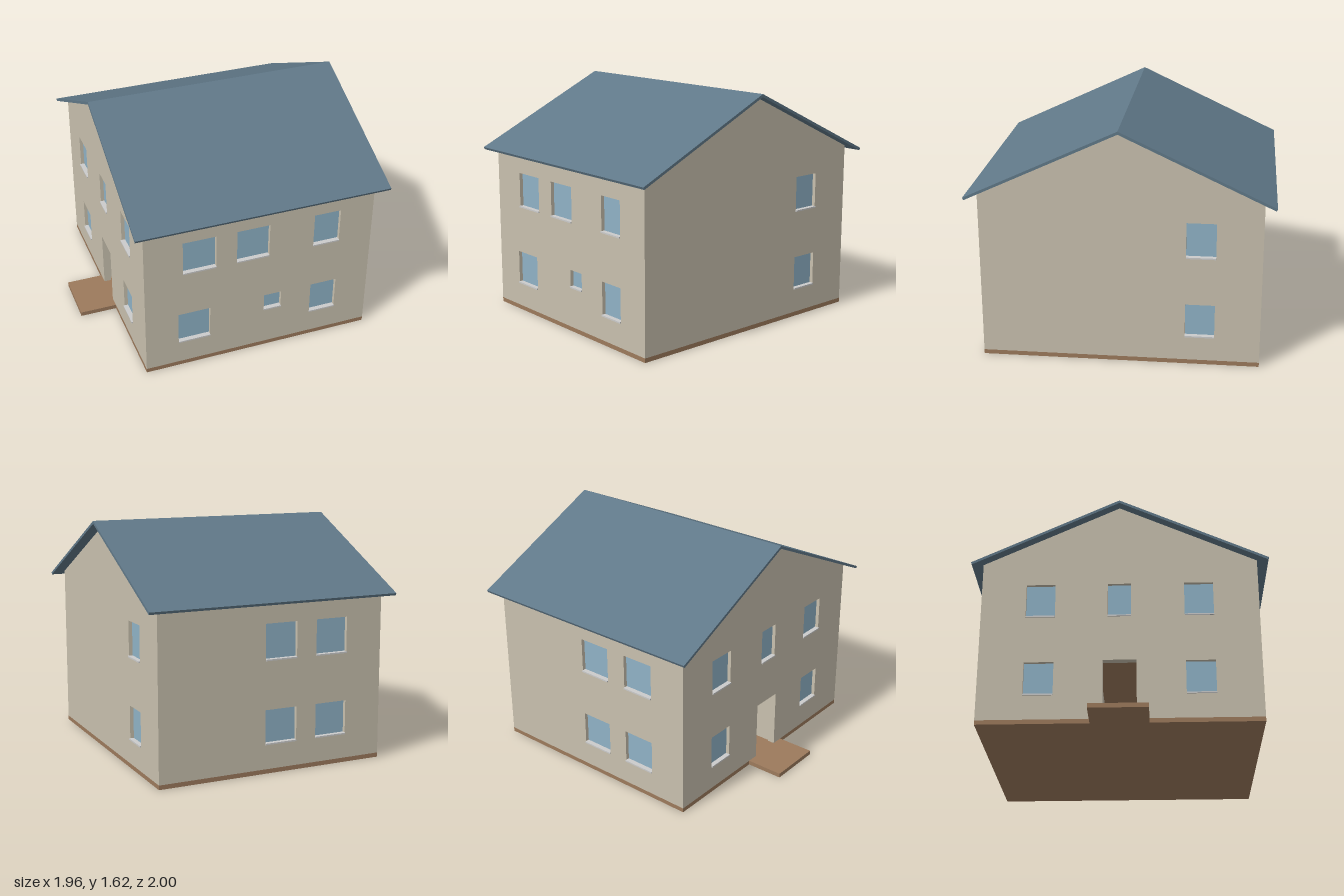
import * as THREE from 'three';

const X0 = -0.72, X1 = 0.9, Z = 0.925;   // outer wall faces
const T = 0.05, FLOOR = 0.03;            // wall and slab thickness
const EAVE = 1.13, RIDGE = 1.595, ROOF_T = 0.02;

const paint = (color) => new THREE.MeshStandardMaterial({ color, flatShading: true });

export function createModel() {
  const house = new THREE.Group();
  house.name = 'house';
  const wallMat = paint(0xc8c0ae), roofMat = paint(0x607888), slabMat = paint(0x9c7a5c);
  const glassMat = paint(0x8fb2c6), sillMat = paint(0xcccccc);

  // Box given by its limits on each axis
  function block(name, mat, [xa, xb], [ya, yb], [za, zb], parent = house) {
    const mesh = new THREE.Mesh(new THREE.BoxGeometry(xb - xa, yb - ya, zb - za), mat);
    mesh.position.set((xa + xb) / 2, (ya + yb) / 2, (za + zb) / 2);
    mesh.name = name;
    parent.add(mesh);
  }

  function extrude(points, holes, depth) {
    const shape = new THREE.Shape(points.map(([x, y]) => new THREE.Vector2(x, y)));
    for (const [a, b, c, d] of holes) {
      shape.holes.push(new THREE.Path([[a, c], [a, d], [b, d], [b, c]].map(([x, y]) => new THREE.Vector2(x, y))));
    }
    return new THREE.ExtrudeGeometry(shape, { depth, bevelEnabled: false });
  }

  // Wall facing local +z, with windows [left, right, bottom, top]
  function wall(name, outline, windows, angle, x, z) {
    const group = new THREE.Group();
    group.name = name;
    const geo = extrude(outline, windows, T).translate(0, 0, -T);
    const body = new THREE.Mesh(geo, wallMat);
    body.name = name + 'Body';
    group.add(body);
    for (const [a, b, c, d] of windows) {
      block('windowGlass', glassMat, [a, b], [c, d], [-0.04, -0.025], group);
      block('windowSill', sillMat, [a, b], [c - 0.004, c + 0.006], [-0.025, 0.008], group);
    }
    group.rotation.y = angle;
    group.position.set(x, 0, z);
    house.add(group);
  }

  // Floor slabs and doorstep
  block('groundSlab', slabMat, [X0, X1], [0, FLOOR], [-Z, Z]);
  block('doorstep', slabMat, [-0.98, X0], [0, FLOOR], [-0.19, 0.19]);
  block('upperFloor', slabMat, [X0 + T, X1 - T], [0.56, 0.59], [-Z + T, Z - T]);

  // Long walls
  const low = [0.2, 0.43], high = [0.76, 1.0];
  const wallTop = RIDGE - (RIDGE - EAVE) * Z;
  const longOutline = (a, b) => [[a, FLOOR], [b, FLOOR], [b, wallTop], [a, wallTop]];
  wall('frontWall', longOutline(X0 + T, X1 - T), [
    [-0.455, -0.225, ...high], [-0.08, 0.15, ...high], [0.47, 0.66, ...high],
    [-0.49, -0.265, ...low], [0.125, 0.25, 0.31, 0.43], [0.47, 0.66, ...low],
  ], 0, 0, Z);
  wall('backWall', longOutline(-X1 + T, -X0 - T),
    [low, high].flatMap((h) => [[0.225, 0.455, ...h], [-0.15, 0.08, ...h]]), Math.PI, 0, -Z);

  // Gable walls, the one at -x with an open doorway
  const gable = [[Z, FLOOR], [Z, wallTop], [0, RIDGE], [-Z, wallTop], [-Z, FLOOR]];
  const doorway = [[-0.11, FLOOR], [-0.11, 0.44], [0.11, 0.44], [0.11, FLOOR]];
  wall('gableWall', gable, [low, high].map((h) => [0.43, 0.625, ...h]), Math.PI / 2, X1, 0);
  wall('entranceGableWall', [...gable, ...doorway], [
    ...[low, high].flatMap((h) => [[-0.625, -0.43, ...h], [0.43, 0.625, ...h]]),
    [-0.08, 0.075, ...high],
  ], -Math.PI / 2, X0, 0);

  // Partitions around the hall
  const storey = [FLOOR, 0.56];
  block('hallWall', wallMat, [X0 + T, X1 - T], storey, [0.12, 0.145]);
  block('hallWall', wallMat, [X0 + T, 0.43], storey, [-0.175, -0.15]);
  block('roomWall', wallMat, [0.405, 0.43], storey, [-Z + T, -0.175]);
  block('roomWall', wallMat, [0.405, 0.43], storey, [0.145, Z - T]);

  // Pitched roof with square-cut eaves
  const profile = [
    [-0.993, EAVE], [0, RIDGE], [0.993, EAVE], [1, EAVE + ROOF_T * 0.8],
    [0, RIDGE + ROOF_T], [-1, EAVE + ROOF_T * 0.8],
  ];
  const roof = new THREE.Mesh(extrude(profile, [], 1.77), roofMat);
  roof.rotation.y = Math.PI / 2;
  roof.position.x = -0.79;
  roof.name = 'roof';
  house.add(roof);

  return house;
}
